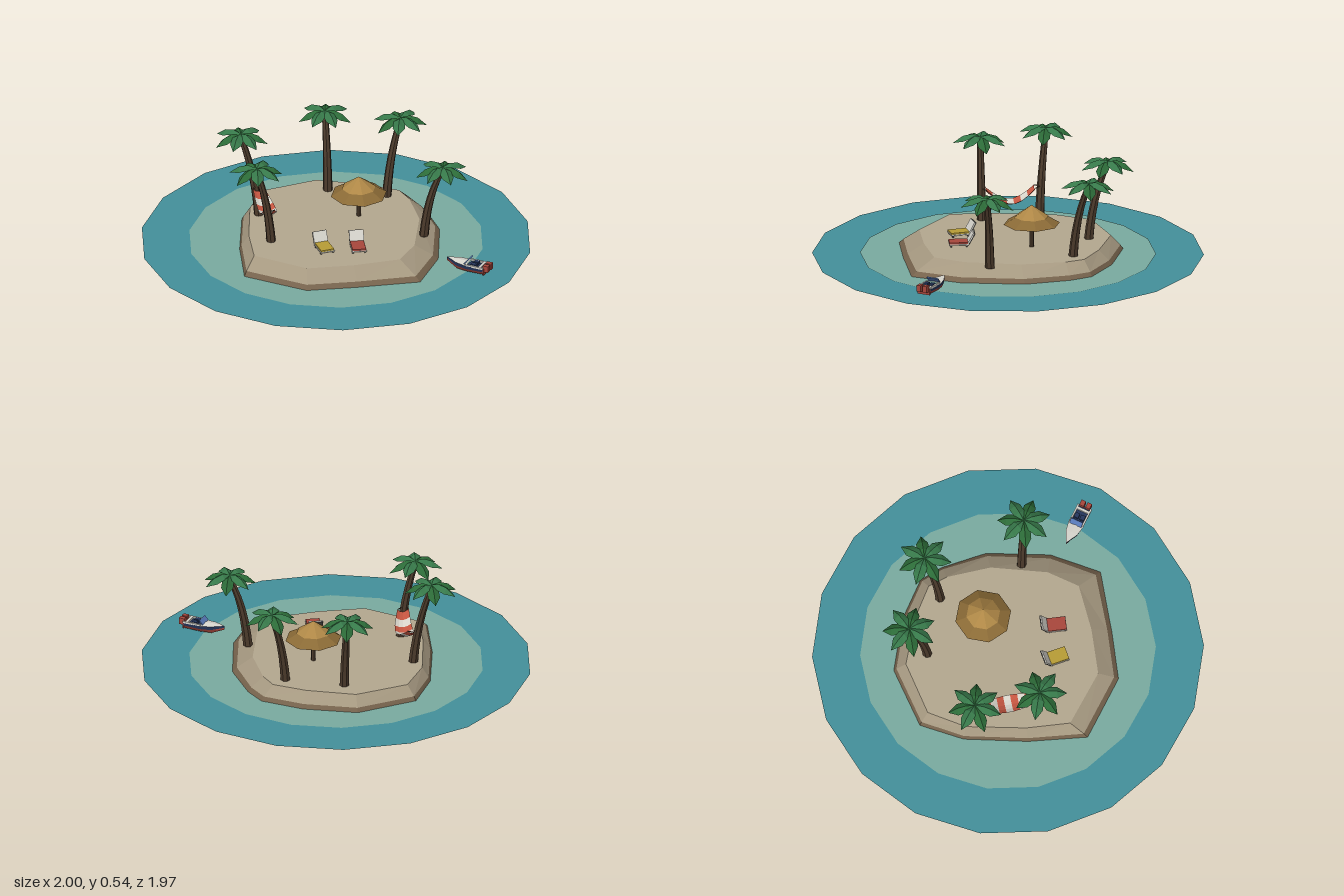
import * as THREE from 'three';

const mat = (color, double = false) => new THREE.MeshStandardMaterial({
  color, flatShading: true, roughness: 0.9, side: double ? THREE.DoubleSide : THREE.FrontSide,
});
const M = {
  deep: mat(0x43909a, true), shallow: mat(0x79aba0, true),
  sand: mat(0xb3a78f), slope: mat(0xa59880), shore: mat(0x75624c),
  trunk: mat(0x4b3a2b), leafA: mat(0x2c6b38, true), leafB: mat(0x37794a, true),
  straw: mat(0xae8746, true), strawDark: mat(0x8a6a36, true),
  white: mat(0xd6d4cc), red: mat(0xa8473c), yellow: mat(0xb79c35), dark: mat(0x4a4a48),
  clothRed: mat(0xc2543f, true), clothWhite: mat(0xd6d2c8, true),
  navy: mat(0x24355c), glass: mat(0x5577b5),
};

function add(parent, name, geo, material, pos = [0, 0, 0], rot = [0, 0, 0]) {
  const m = new THREE.Mesh(geo, material);
  m.name = name;
  m.position.set(...pos);
  m.rotation.set(...rot);
  parent.add(m);
  return m;
}
function group(parent, name, pos = [0, 0, 0], yaw = 0) {
  const g = new THREE.Group();
  g.name = name;
  g.position.set(...pos);
  g.rotation.y = yaw;
  parent.add(g);
  return g;
}
const box = (w, h, d) => new THREE.BoxGeometry(w, h, d);

// Skin over rows of [x, y, z] points; zero-area corners are dropped
function skin(rows) {
  const out = [];
  const same = (a, b) => a.every((v, k) => Math.abs(v - b[k]) < 1e-7);
  const tri = (a, b, c) => {
    if (!same(a, b) && !same(b, c) && !same(a, c)) out.push(...a, ...b, ...c);
  };
  for (let i = 0; i < rows.length - 1; i++) {
    for (let j = 0; j < rows[i].length - 1; j++) {
      const a = rows[i][j], b = rows[i][j + 1], c = rows[i + 1][j + 1], d = rows[i + 1][j];
      tri(a, b, c);
      tri(a, c, d);
    }
  }
  const g = new THREE.BufferGeometry();
  g.setAttribute('position', new THREE.Float32BufferAttribute(out, 3));
  g.computeVertexNormals();
  return g;
}

// Sand island: shore outline and plateau outline, both [x, z]
function island(parent) {
  const g = group(parent, 'island');
  const base = [[-0.545, 0.305], [-0.265, 0.525], [0, 0.545], [0.325, 0.555], [0.47, 0.32], [0.545, 0],
    [0.515, -0.24], [0.47, -0.36], [0.28, -0.495], [0.015, -0.595], [-0.305, -0.525], [-0.425, -0.32], [-0.505, 0]];
  const top = [[-0.475, 0.225], [-0.24, 0.42], [0, 0.435], [0.245, 0.42], [0.35, 0.28], [0.435, 0],
    [0.43, -0.23], [0.4, -0.33], [0.25, -0.43], [0.01, -0.53], [-0.27, -0.475], [-0.385, -0.30], [-0.455, 0]];
  const ring = (t, y) => {
    const r = base.map(([x, z], i) => [x + (top[i][0] - x) * t, y, z + (top[i][1] - z) * t]);
    return [...r, r[0]];
  };
  const shore = ring(0, 0), mid = ring(0.25, 0.025), rim = ring(1, 0.077);
  add(g, 'shoreEdge', skin([shore, mid]), M.shore);
  add(g, 'beachSlope', skin([mid, rim]), M.slope);
  add(g, 'plateau', skin([rim, rim.map(() => [0, 0.077, 0])]), M.sand);
}

// Palm: bent tapered trunk and a crown of seven folded leaves
function palm(parent, [bx, bz], [tx, ty, tz], phase) {
  const g = group(parent, 'palm');
  const curve = new THREE.QuadraticBezierCurve3(
    new THREE.Vector3(bx, 0.065, bz),
    new THREE.Vector3(bx + (tx - bx) * 0.2, 0.3, bz + (tz - bz) * 0.2),
    new THREE.Vector3(tx, ty, tz));
  const rows = [];
  for (let i = 0; i <= 6; i++) {
    const p = curve.getPoint(i / 6), r = 0.025 - 0.009 * i / 6, row = [];
    for (let j = 0; j <= 7; j++) {
      const a = (j % 7) / 7 * Math.PI * 2;
      row.push([p.x + r * Math.cos(a), p.y, p.z - r * Math.sin(a)]);
    }
    rows.push(row);
  }
  add(g, 'trunk', skin(rows), M.trunk);
  const crown = group(g, 'crown', [tx, ty, tz], phase);
  // stations: distance, half width, ridge height, edge height
  const leaf = skin([[0, 0.006, 0.018, 0.012], [0.045, 0.03, 0.03, 0.012], [0.09, 0.031, 0.018, -0.004], [0.14, 0, -0.022, -0.022]]
    .map(([d, w, h, e]) => [[-w, e, d], [0, h, d], [w, e, d]]));
  for (let k = 0; k < 7; k++) {
    const tilt = k % 2 ? 0.1 : -0.04;
    const m = add(crown, 'leaf', leaf, k % 2 ? M.leafA : M.leafB, [0, 0, 0], [tilt, k / 7 * Math.PI * 2, 0]);
    m.rotation.order = 'YXZ';
  }
}

// Straw parasol with a stepped octagonal roof
function parasol(parent) {
  const g = group(parent, 'parasol', [0.14, 0, -0.1]);
  add(g, 'pole', new THREE.CylinderGeometry(0.01, 0.012, 0.2, 6), M.trunk, [0, 0.17, 0]);
  add(g, 'roofSkirt', new THREE.CylinderGeometry(0.075, 0.145, 0.042, 8, 1, true), M.strawDark, [0, 0.221, 0]);
  add(g, 'roofTop', new THREE.CylinderGeometry(0, 0.088, 0.062, 8, 1, true), M.straw, [0, 0.269, 0]);
}

// Beach lounger with a raised back
function lounger(parent, x, z, yaw, seatMat) {
  const g = group(parent, 'lounger', [x, 0.077, z], yaw);
  add(g, 'frame', box(0.076, 0.006, 0.1), M.white, [0, 0.013, 0.015]);
  add(g, 'seat', box(0.07, 0.008, 0.096), seatMat, [0, 0.02, 0.016]);
  for (const sx of [-1, 1]) for (const lz of [-0.025, 0.055]) {
    add(g, 'leg', box(0.008, 0.012, 0.008), M.dark, [sx * 0.032, 0.006, lz]);
  }
  const back = group(g, 'back', [0, 0.018, -0.032]);
  back.rotation.x = -0.5;
  add(back, 'backCushion', box(0.074, 0.06, 0.006), M.white, [0, 0.03, 0]);
  add(back, 'backFrame', box(0.076, 0.062, 0.005), M.dark, [0, 0.031, -0.0055]);
}

// Striped hammock slung between the two left-hand palms
function hammock(parent) {
  const g = group(parent, 'hammock');
  const n = 7;
  const row = (u) => {
    const s = Math.sin(u * Math.PI), w = 0.03 + 0.017 * s, y = 0.222 - 0.065 * s;
    return [-1, -0.5, 0, 0.5, 1].map((v) => [-0.362 + 0.02 * s + v * w, y + 0.016 * v * v, 0.055 - 0.25 * u]);
  };
  for (let i = 0; i < n; i++) {
    add(g, 'stripe', skin([row(i / n), row((i + 1) / n)]), i % 2 ? M.clothWhite : M.clothRed);
  }
  for (const [u, z] of [[0, 0.08], [1, -0.225]]) for (const k of [0, 4]) {
    const line = new THREE.LineCurve3(new THREE.Vector3(...row(u)[k]), new THREE.Vector3(-0.367, 0.24, z));
    add(g, 'rope', new THREE.TubeGeometry(line, 1, 0.003, 4), M.trunk);
  }
}

// Motorboat, bow along its own +z
function boat(parent) {
  const g = group(parent, 'motorboat', [0.592, 0, 0.482], Math.atan2(-0.79, -0.61));
  // stations: z, half width, keel height, side height
  const st = [[-0.095, 0.036, 0.014, 0.05], [0, 0.042, 0.014, 0.051], [0.06, 0.032, 0.016, 0.055], [0.125, 0, 0.04, 0.06]];
  const at = (y, k, b) => y + (k - y) * b;
  add(g, 'lowerHull', skin(st.map(([z, w, k, t]) => [[-w * 0.9, at(k, t, 0.5), z], [-w * 0.6, k, z], [w * 0.6, k, z], [w * 0.9, at(k, t, 0.5), z]])), M.red);
  for (const s of [-1, 1]) {
    const side = st.map(([z, w, k, t]) => [[s * w, t, z], [s * w * 0.9, at(k, t, 0.5), z]]);
    add(g, 'hullSide', skin(s < 0 ? side : side.map((r) => r.reverse())), M.navy);
    add(g, 'gunwale', box(0.009, 0.01, 0.1), M.white, [s * 0.035, 0.053, -0.045]);
  }
  add(g, 'foredeck', skin(st.slice(1).map(([z, w, , t]) => [[w, t, z], [0, t + w * 0.2, z], [-w, t, z]].reverse().map((p) => p)).reverse()), mat(0xd6d4cc, true));
  add(g, 'cockpitFloor', box(0.068, 0.006, 0.1), M.navy, [0, 0.042, -0.045]);
  add(g, 'transom', box(0.07, 0.036, 0.006), M.red, [0, 0.034, -0.095]);
  add(g, 'windshield', box(0.066, 0.03, 0.006), M.glass, [0, 0.067, 0.005], [-0.7, 0, 0]);
  for (const s of [-1, 1]) {
    add(g, 'seat', box(0.024, 0.016, 0.026), M.navy, [s * 0.016, 0.053, -0.035]);
    add(g, 'outboardMotor', box(0.024, 0.034, 0.03), M.red, [s * 0.017, 0.05, -0.105]);
  }
  add(g, 'rearBench', box(0.064, 0.012, 0.014), M.white, [0, 0.052, -0.075]);
}

export function createModel() {
  const model = new THREE.Group();
  model.name = 'tropicalIsland';

  // Sea: deep disc with a paler shallow disc on it
  const disc = (r) => new THREE.CircleGeometry(r, 18).rotateX(-Math.PI / 2);
  add(model, 'deepWater', disc(1), M.deep, [0, 0.001, 0]);
  add(model, 'shallowWater', disc(0.755), M.shallow, [0, 0.004, 0]);

  island(model);
  palm(model, [0.045, -0.41], [0.05, 0.467, -0.505], 0.2);
  palm(model, [0.325, -0.285], [0.41, 0.467, -0.35], 0.6);
  palm(model, [0.425, 0.16], [0.515, 0.442, 0.19], 0.1);
  palm(model, [-0.355, -0.22], [-0.44, 0.507, -0.265], 0.4);
  palm(model, [-0.355, 0.08], [-0.43, 0.48, 0.075], 0.75);
  parasol(model);
  lounger(model, -0.113, 0.222, 0.14, M.yellow);
  lounger(model, 0.06, 0.25, -0.08, M.red);
  hammock(model);
  boat(model);
  return model;
}
